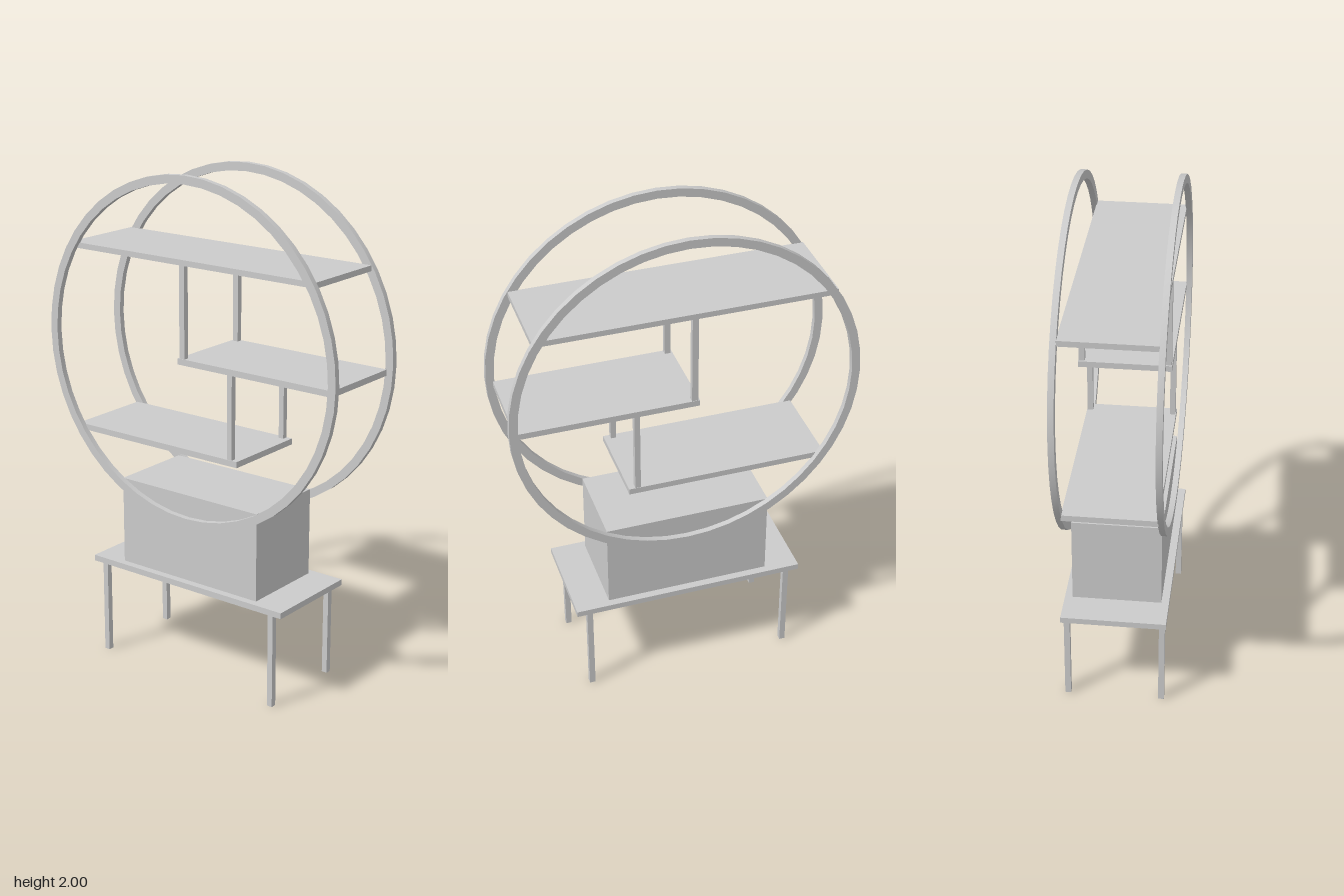
import * as THREE from 'three';
import { toCreasedNormals } from 'three/addons/utils/BufferGeometryUtils.js';

export function createModel() {
  const model = new THREE.Group();
  model.name = 'roundShelfUnit';
  const material = new THREE.MeshStandardMaterial({ color: 0xcccccc });

  function add(name, geometry, x = 0, y = 0, z = 0) {
    const mesh = new THREE.Mesh(geometry, material);
    mesh.name = name;
    mesh.position.set(x, y, z);
    model.add(mesh);
  }

  // Box given by its extents along each axis
  function box(name, [x0, x1], [y0, y1], [z0, z1]) {
    add(name, new THREE.BoxGeometry(x1 - x0, y1 - y0, z1 - z0),
      (x0 + x1) / 2, (y0 + y1) / 2, (z0 + z1) / 2);
  }

  // Table base and pedestal block
  box('tableTop', [-0.204, 0.204], [0.382, 0.406], [-0.472, 0.46]);
  box('pedestal', [-0.174, 0.174], [0.406, 0.76], [-0.337, 0.322]);

  // Shelves between the rings
  const shelfX = [-0.178, 0.178];
  box('topShelf', shelfX, [1.66, 1.682], [-0.58, 0.573]);
  box('middleShelf', shelfX, [1.278, 1.302], [-0.05, 0.652]);
  box('lowerShelf', shelfX, [0.924, 0.948], [-0.56, 0.23]);

  // Flat hoop: rectangular section swept around the x axis
  const outer = 0.68, inner = 0.647, half = 0.0115;
  const section = [[inner, -half], [outer, -half], [outer, half], [inner, half], [inner, -half]]
    .map(([r, h]) => new THREE.Vector2(r, h));
  const hoop = toCreasedNormals(new THREE.LatheGeometry(section, 48).rotateZ(Math.PI / 2), 0.6);

  // Parts mirrored left and right
  for (const side of [1, -1]) {
    const label = side > 0 ? 'left' : 'right';
    const span = (a, b) => (side > 0 ? [a, b] : [-b, -a]);
    add(label + 'Ring', hoop, side * 0.1875, 1.32, 0);
    box(label + 'FrontLeg', span(0.174, 0.197), [0, 0.382], [0.395, 0.418]);
    box(label + 'BackLeg', span(0.174, 0.197), [0, 0.382], [-0.432, -0.409]);
    box(label + 'UpperPost', span(0.154, 0.176), [1.302, 1.66], [-0.043, -0.019]);
    box(label + 'LowerPost', span(0.154, 0.176), [0.948, 1.278], [0.183, 0.205]);
  }
  return model;
}
